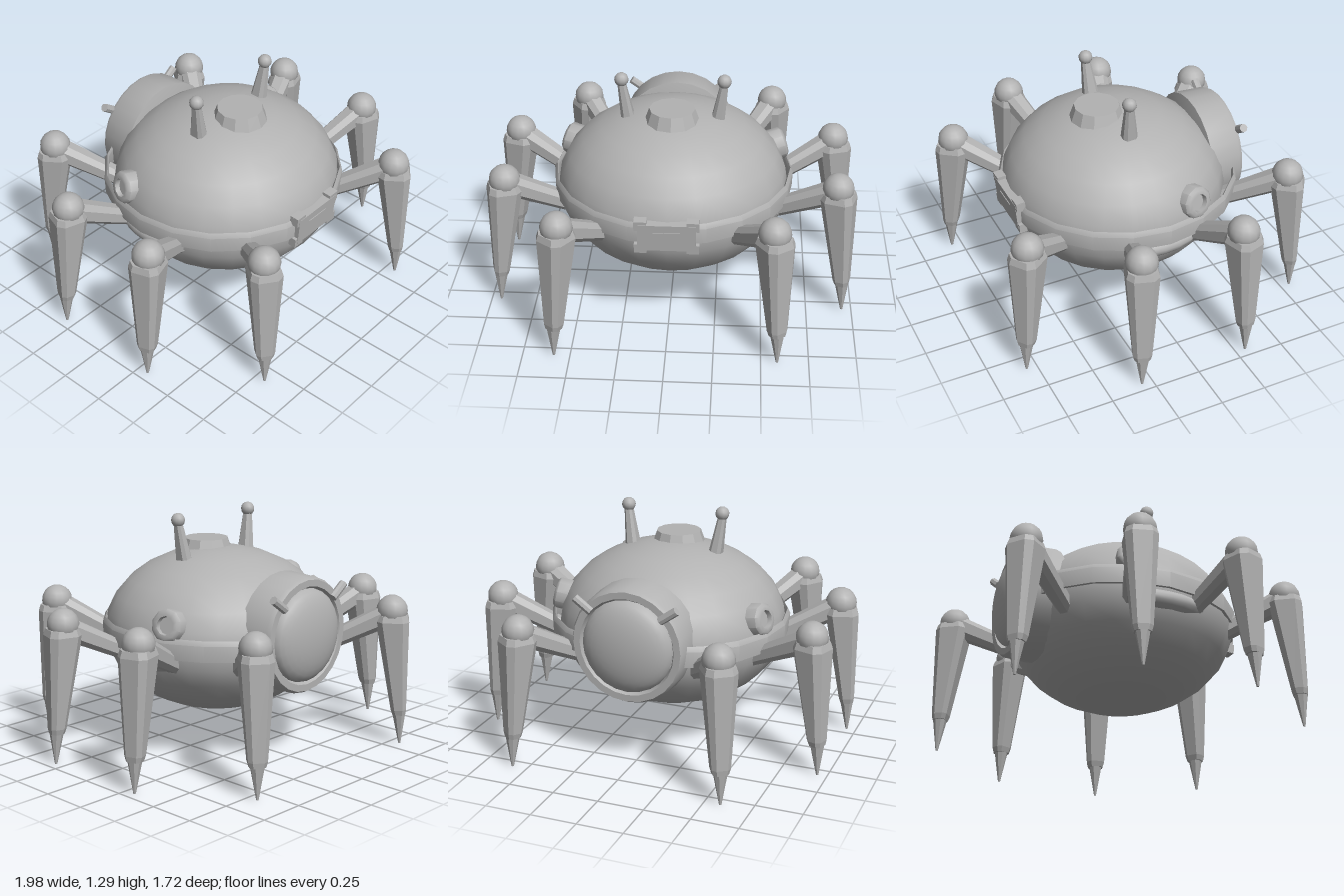
import * as THREE from 'three';
import { toCreasedNormals } from 'three/addons/utils/BufferGeometryUtils.js';

const metal = new THREE.MeshStandardMaterial({ color: 0xb2b2b2, side: THREE.DoubleSide });
metal.name = 'grey metal';

function add(parent, name, geometry, x = 0, y = 0, z = 0) {
  const mesh = new THREE.Mesh(geometry, metal);
  mesh.name = name;
  mesh.position.set(x, y, z);
  parent.add(mesh);
  return mesh;
}

const lathe = (points, sides, crease = 0.6) =>
  toCreasedNormals(new THREE.LatheGeometry(points.map(p => new THREE.Vector2(...p)), sides), crease);

// Chamfered rectangle, counter-clockwise in (u, v)
function chamfered(hu, hv, c) {
  return [[hu, -hv + c], [hu, hv - c], [hu - c, hv], [c - hu, hv],
    [-hu, hv - c], [-hu, c - hv], [c - hu, -hv], [hu - c, -hv]];
}

// Flat-shaded skin through equal-sized rings, closed at both ends
function loft(rings) {
  const out = [];
  const n = rings[0].length;
  const tri = (...pts) => pts.forEach(p => out.push(...p));
  for (let r = 0; r < rings.length - 1; r++) {
    for (let i = 0; i < n; i++) {
      const j = (i + 1) % n, a = rings[r], b = rings[r + 1];
      tri(a[i], a[j], b[j]);
      tri(a[i], b[j], b[i]);
    }
  }
  const first = rings[0], last = rings[rings.length - 1];
  for (let i = 1; i < n - 1; i++) {
    tri(first[0], first[i + 1], first[i]);
    tri(last[0], last[i], last[i + 1]);
  }
  const g = new THREE.BufferGeometry();
  g.setAttribute('position', new THREE.Float32BufferAttribute(out, 3));
  g.computeVertexNormals();
  return g;
}

// Leg pointing along +x: arm, knee ball, tapered shin and pointed foot
function makeLeg(angle) {
  const leg = new THREE.Group();
  leg.name = 'leg';
  leg.rotation.y = -angle;

  const arm = [[0.54, 0.545, 0.042], [0.9, 0.725, 0.058]].map(([x, y, h]) =>
    chamfered(h, h, h * 0.5).map(([u, v]) => [x - u * 0.3, y + u, v]));
  add(leg, 'upperLeg', loft(arm));

  add(leg, 'knee', new THREE.SphereGeometry(0.085, 14, 10), 0.932, 0.755, 0);

  // [height, inner radius, outer radius, half width]
  const shin = [[0.17, 0.952, 1.022, 0.042], [0.2, 0.942, 1.026, 0.05],
    [0.7, 0.848, 1.026, 0.085], [0.735, 0.858, 1.016, 0.075]].map(([y, r0, r1, w]) =>
    chamfered(w, (r1 - r0) / 2, w * 0.4).map(([u, v]) => [(r0 + r1) / 2 + v, y, u]));
  add(leg, 'lowerLeg', loft(shin));

  const foot = [[0, 0.996, 0.006], [0.18, 0.987, 0.036]].map(([y, x, h]) =>
    chamfered(h, h, h * 0.55).map(([u, v]) => [x + v, y, u]));
  add(leg, 'footTip', loft(foot));
  return leg;
}

// Round rear housing with a domed lens and two radial lugs
function makeRearHousing() {
  const rear = new THREE.Group();
  rear.name = 'rearHousing';
  rear.position.set(0, 0.69, 0);
  const shell = lathe([[0, 0.35], [0.318, 0.43], [0.31, 0.6], [0.298, 0.622],
    [0.262, 0.622], [0.25, 0.6], [0, 0.6]], 24);
  add(rear, 'housingShell', shell).rotation.x = -Math.PI / 2;
  const dome = [];
  for (let i = 0; i <= 8; i++) {
    const t = (i / 8) * Math.PI / 2;
    dome.push([0.25 * Math.cos(t), 0.6 + 0.092 * Math.sin(t)]);
  }
  add(rear, 'rearDome', lathe(dome, 24, 1)).rotation.x = -Math.PI / 2;
  for (const s of [-1, 1]) {
    const lug = add(rear, 'rearLug', new THREE.CylinderGeometry(0.023, 0.023, 0.11, 8), s * 0.235, 0.205, -0.627);
    lug.geometry = toCreasedNormals(lug.geometry, 0.6);
    lug.rotation.z = -s * 0.95;
  }
  return rear;
}

// Front panel with corner brackets and a raised triangle
function makeFrontPanel() {
  const panel = new THREE.Group();
  panel.name = 'frontPanel';
  panel.position.set(0, 0.648, 0.633);
  panel.rotation.x = 0.08;
  add(panel, 'panelPlate', new THREE.BoxGeometry(0.3, 0.155, 0.05));
  for (const sx of [-1, 1]) for (const sy of [-1, 1]) {
    add(panel, 'panelBracket', new THREE.BoxGeometry(0.065, 0.022, 0.05), sx * 0.135, sy * 0.085, -0.002);
    add(panel, 'panelBracket', new THREE.BoxGeometry(0.022, 0.05, 0.05), sx * 0.157, sy * 0.068, -0.002);
  }
  const tri = new THREE.Shape([new THREE.Vector2(-0.07, 0.035),
    new THREE.Vector2(0, -0.02), new THREE.Vector2(0.07, 0.035)]);
  add(panel, 'panelTriangle', new THREE.ExtrudeGeometry(tri, { depth: 0.005, bevelEnabled: false }), 0, 0, 0.024);
  return panel;
}

// Parts found on each side: sensor, antenna and lower bulge
function makeSide(s) {
  const side = new THREE.Group();
  side.name = s > 0 ? 'leftSide' : 'rightSide';

  const sensor = lathe([[0.088, -0.09], [0.088, 0.025], [0.072, 0.04],
    [0.05, 0.04], [0.046, 0.015], [0, 0.015]], 10, 0.8);
  const port = add(side, 'sidePort', sensor, s * 0.572, 0.77, -0.175);
  port.quaternion.setFromUnitVectors(new THREE.Vector3(0, 1, 0),
    new THREE.Vector3(s * 0.94, 0.22, -0.25).normalize());

  const stalk = [[1.02, 0.24, 0.045, 0.036, 0.044], [1.235, 0.272, 0.06, 0.021, 0.023]]
    .map(([y, x, z, hx, hz]) => chamfered(hz, hx, hx * 0.5).map(([u, v]) => [s * x + v, y, z + u]));
  add(side, 'antennaStalk', loft(stalk));
  add(side, 'antennaBall', new THREE.SphereGeometry(0.038, 12, 8), s * 0.272, 1.253, 0.06);

  const bulge = new THREE.SphereGeometry(1, 16, 10);
  bulge.scale(0.09, 0.062, 0.23);
  add(side, 'sideBulge', bulge, s * 0.55, 0.56, 0.02);
  return side;
}

export function createModel() {
  const model = new THREE.Group();
  model.name = 'spiderRobot';

  // Body shell and the thin band around it
  const body = new THREE.SphereGeometry(1, 24, 14);
  body.scale(0.628, 0.447, 0.612);
  add(model, 'body', body, 0, 0.637, 0.03);
  add(model, 'bodyBand', lathe([[0.638, 0.605], [0.654, 0.605], [0.657, 0.69],
    [0.642, 0.715], [0.634, 0.7], [0.638, 0.605]], 20));

  // Hatch on top
  add(model, 'topHatch', toCreasedNormals(new THREE.CylinderGeometry(0.122, 0.147, 0.07, 12), 0.3), 0, 1.085, 0.12);

  model.add(makeRearHousing(), makeFrontPanel(), makeSide(1), makeSide(-1));

  // Four legs on each side
  for (const deg of [18, 54, 126, 162, 198, 234, 306, 342]) {
    model.add(makeLeg(THREE.MathUtils.degToRad(deg)));
  }
  return model;
}
